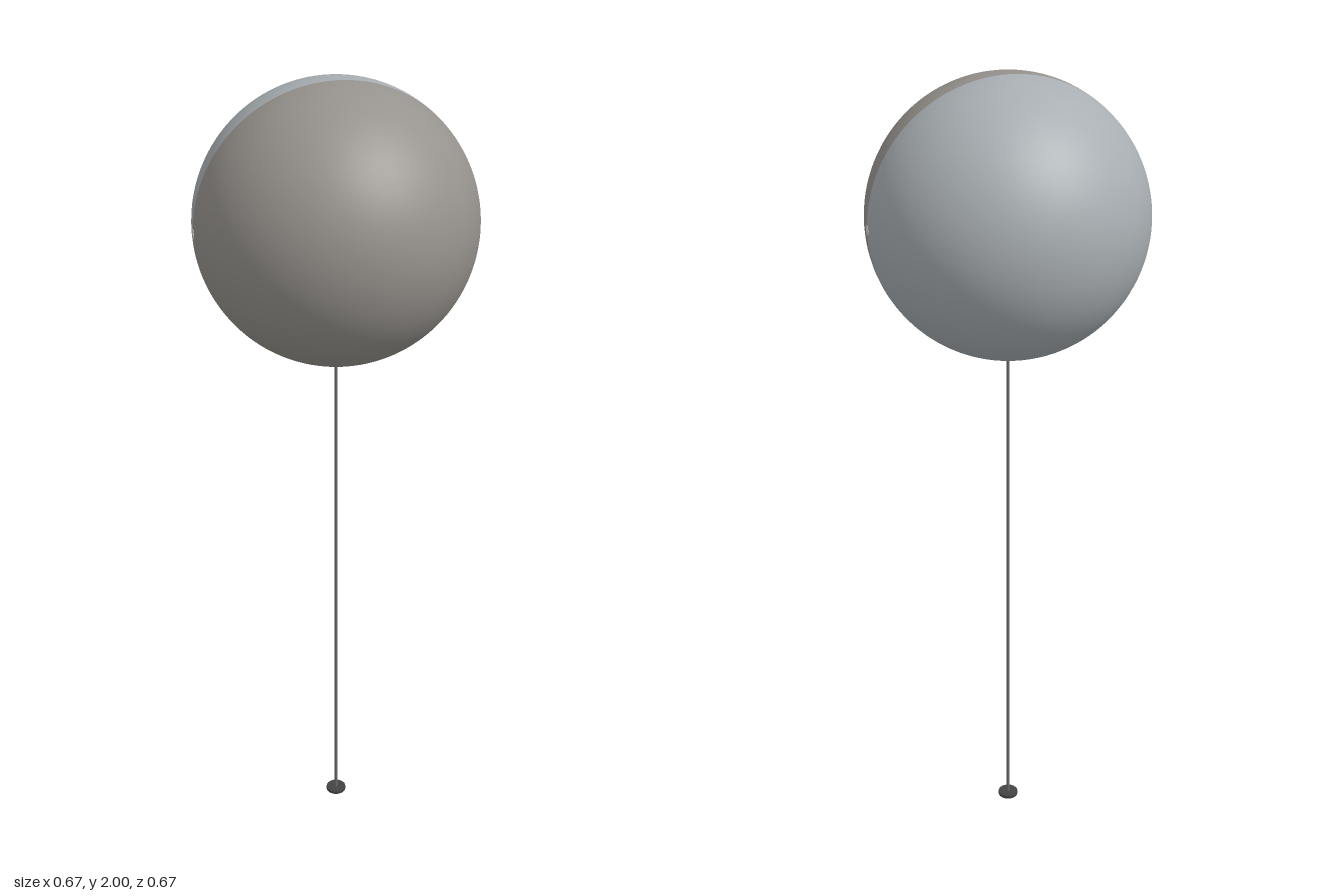
import * as THREE from 'three';

const RADIUS = 1 / 3;
const CENTRE_Y = 2 - RADIUS;

function addPart(group, name, geometry, color, y) {
  const mesh = new THREE.Mesh(geometry, new THREE.MeshStandardMaterial({ color }));
  mesh.name = name;
  mesh.position.y = y;
  group.add(mesh);
  return mesh;
}

export function createModel() {
  const model = new THREE.Group();
  model.name = 'globeOnStand';

  // Two half shells meeting on the plane z = 0
  const half = (start) => new THREE.SphereGeometry(RADIUS, 48, 64, start, Math.PI);
  addPart(model, 'frontShell', half(0), 0x96928d, CENTRE_Y);
  addPart(model, 'backShell', half(Math.PI), 0xa8aeb2, CENTRE_Y);

  // Small flush pins on the seam, one at each side
  for (const side of [-1, 1]) {
    const pin = addPart(model, side > 0 ? 'leftPin' : 'rightPin',
      new THREE.CylinderGeometry(0.012, 0.012, 0.01, 16), 0xdddddd, CENTRE_Y);
    pin.rotation.z = Math.PI / 2;
    pin.position.x = side * (RADIUS - 0.0045);
  }

  // Thin pole running into the bottom of the ball
  const poleTop = CENTRE_Y - RADIUS + 0.005;
  addPart(model, 'pole', new THREE.CylinderGeometry(0.004, 0.004, poleTop, 16), 0x666a70, poleTop / 2);

  // Flat round foot
  addPart(model, 'foot', new THREE.CylinderGeometry(0.026, 0.026, 0.008, 32), 0x444444, 0.004);

  return model;
}
